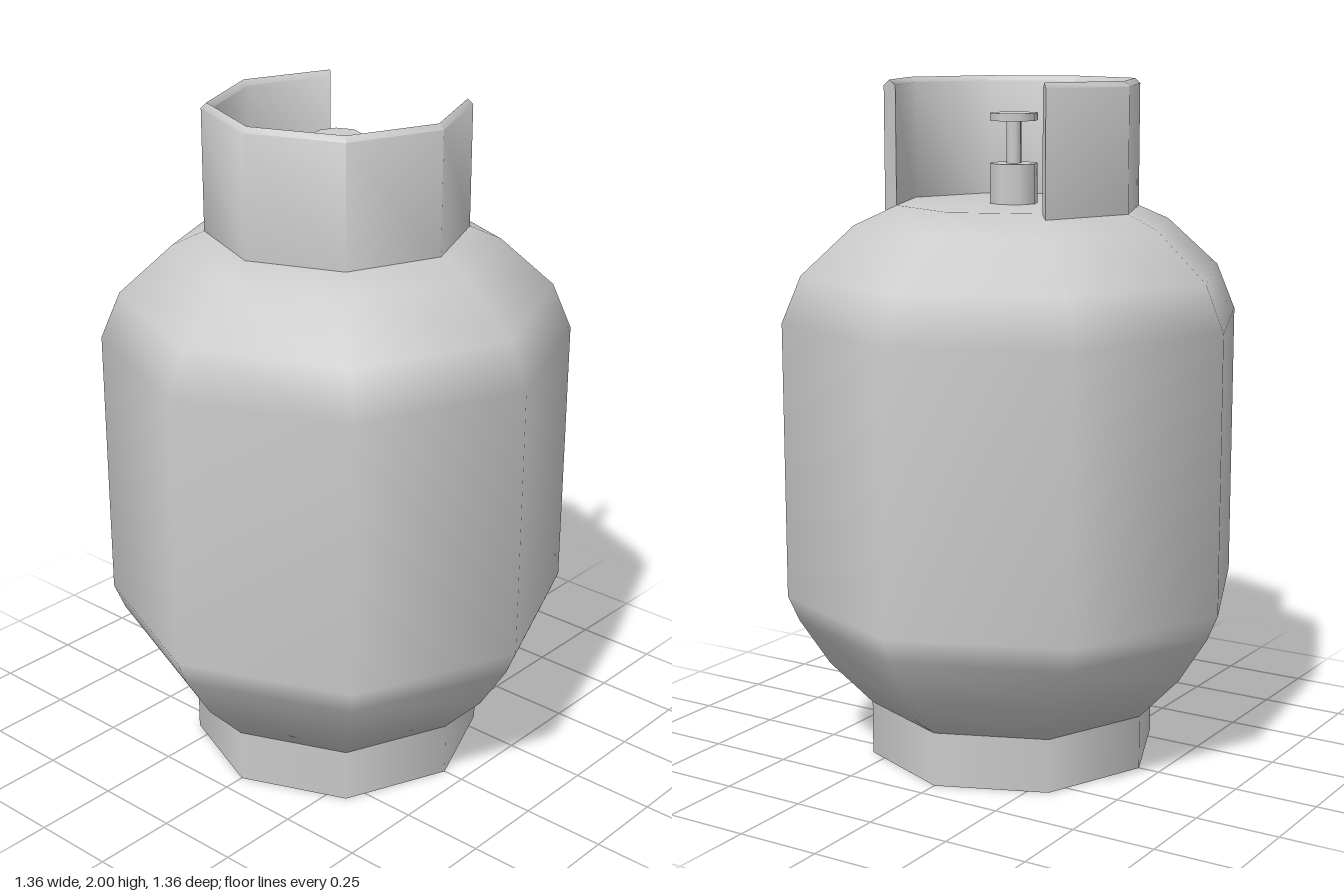
import * as THREE from 'three';
import { toCreasedNormals } from 'three/addons/utils/BufferGeometryUtils.js';

const SIDES = 8;
const material = new THREE.MeshStandardMaterial({ color: 0xcccccc });
const thin = new THREE.MeshStandardMaterial({ color: 0xcccccc, side: THREE.DoubleSide });
const points = (list) => list.map(([r, y]) => new THREE.Vector2(r, y));

export function createModel() {
  const model = new THREE.Group();
  const add = (name, geometry, mat = material, parent = model) => {
    const mesh = new THREE.Mesh(geometry, mat);
    mesh.name = name;
    parent.add(mesh);
    return mesh;
  };

  // Eight-sided pressure tank with domed shoulders and closed ends
  add('tank', new THREE.LatheGeometry(points([
    [0, 0.16], [0.435, 0.16], [0.56, 0.29], [0.65, 0.43], [0.682, 0.505],
    [0.682, 1.315], [0.625, 1.45], [0.47, 1.59], [0.345, 1.645], [0, 1.645],
  ]), SIDES));

  // Open foot ring
  add('footRing', new THREE.CylinderGeometry(0.435, 0.435, 0.16, SIDES, 1, true), thin)
    .position.y = 0.08;

  // Guard collar, open towards +x, with a bevelled rim
  const collar = new THREE.Group();
  collar.name = 'collar';
  model.add(collar);
  const section = points([
    [0.345, 1.63], [0.378, 1.63], [0.378, 1.985], [0.362, 2], [0.345, 1.985], [0.345, 1.63],
  ]);
  const wall = new THREE.LatheGeometry(section, 6, Math.PI * 0.75, Math.PI * 1.5);
  add('collarWall', toCreasedNormals(wall, THREE.MathUtils.degToRad(50)), material, collar);
  for (const side of [-1, 1]) {
    const end = new THREE.ShapeGeometry(new THREE.Shape(section));
    add('collarEnd', end.rotateY(side * Math.PI / 4), thin, collar);
  }

  // Valve: body, stem and handwheel
  const valve = new THREE.Group();
  valve.name = 'valve';
  model.add(valve);
  for (const [name, radius, bottom, top] of [
    ['valveBody', 0.071, 1.64, 1.76],
    ['valveStem', 0.022, 1.76, 1.885],
    ['handwheel', 0.071, 1.882, 1.904],
  ]) {
    const part = new THREE.CylinderGeometry(radius, radius, top - bottom, SIDES);
    add(name, part, material, valve).position.y = (top + bottom) / 2;
  }

  return model;
}
